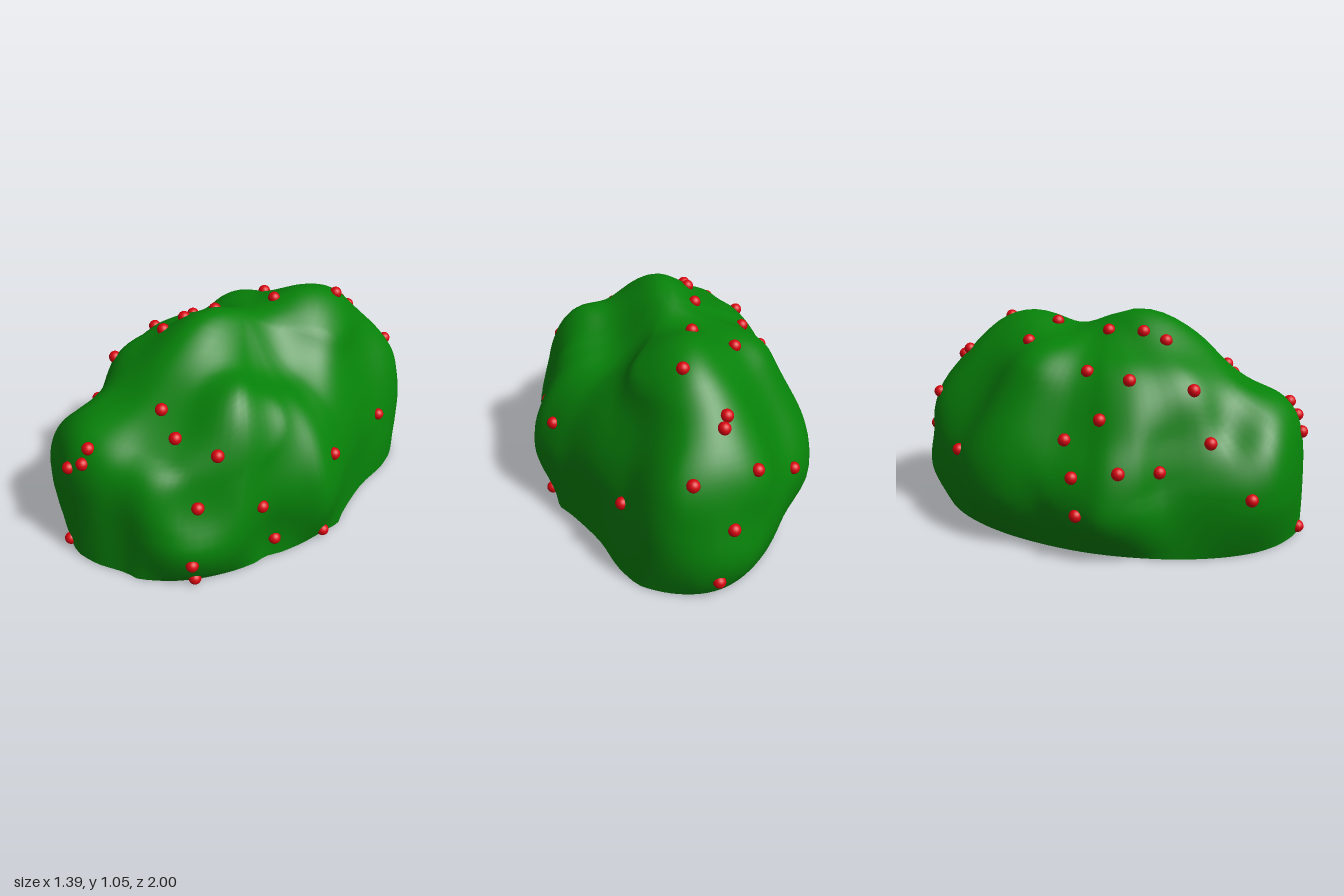
import * as THREE from 'three';

// Widest outline in plan, [x, z], from the back round by +x
const OUTLINE = [
  [0.05, -0.985], [0.2, -0.94], [0.32, -0.85], [0.42, -0.66], [0.47, -0.44], [0.56, -0.23], [0.64, -0.11],
  [0.69, 0.03], [0.63, 0.17], [0.57, 0.3], [0.59, 0.5], [0.51, 0.7], [0.38, 0.81], [0.22, 0.87], [0.07, 0.95],
  [-0.12, 0.98], [-0.36, 0.89], [-0.47, 0.72], [-0.53, 0.45], [-0.65, 0.3], [-0.69, 0.17], [-0.65, 0.05],
  [-0.61, -0.1], [-0.62, -0.35], [-0.55, -0.53], [-0.4, -0.67], [-0.25, -0.85], [-0.1, -0.96],
];

// Lumps and hollows of the crown: x, z, height, spread in x, spread in z
const LUMPS = [
  [0, 0.2, 0.25, 0.17, 0.24], [0.02, -0.5, 0.26, 0.2, 0.28], [0, 0.95, 0.08, 0.3, 0.15],
  [0.42, 0.3, 0.21, 0.13, 0.16], [-0.42, 0.32, 0.16, 0.15, 0.2], [-0.36, -0.3, 0.14, 0.14, 0.2],
  [0.4, -0.3, 0.06, 0.1, 0.12], [0, -0.15, -0.04, 0.12, 0.12], [0.25, -0.02, -0.07, 0.12, 0.14],
  [-0.37, 0.68, -0.13, 0.1, 0.12], [0.42, -0.6, -0.2, 0.14, 0.14], [-0.42, -0.64, -0.13, 0.12, 0.14],
  [-0.58, 0.05, -0.1, 0.08, 0.2],
];

// Berry positions; the foliage is drawn to them
const BERRIES = [
  [0.15, 0.78, 0.57], [0.27, 0.68, 0.58], [0.45, 0.66, 0.49], [0.04, 0.63, 0.89], [0.02, 0.58, 0.93],
  [-0.04, 0.51, 0.95], [0.46, 0.43, 0.61], [0.57, 0.36, 0.33], [0.52, 0.17, 0.69], [0.57, 0.12, 0.25],
  [0.47, 0.03, 0.65], [0.62, 0.05, -0.02], [-0.1, 0.05, 0.97], [0.6, 0.48, -0.08], [0.39, 0.35, -0.61],
  [-0.04, 0.97, -0.25], [0.09, 0.96, -0.55], [-0.05, 0.81, -0.71], [-0.03, 0.77, -0.77], [0.15, 0.6, -0.89],
  [-0.01, 0.38, -0.94], [0.05, 0.12, -0.97], [-0.15, 0.6, -0.86], [-0.16, 0.98, 0.21], [-0.18, 0.94, 0.32],
  [-0.14, 0.97, 0.04], [-0.22, 0.91, -0.34], [-0.42, 0.81, 0.21], [-0.38, 0.83, 0], [-0.36, 0.77, 0.49],
  [-0.4, 0.54, 0.58], [-0.53, 0.65, 0.1], [-0.55, 0.55, -0.06], [-0.63, 0.45, 0.22], [-0.65, 0.41, -0.01],
  [-0.67, 0.24, 0.03], [-0.53, 0.43, 0.37], [-0.45, 0.31, 0.78], [-0.42, 0.4, -0.64],
];

// Further points the foliage passes through
const ANCHORS = [
  [0.35, 0.88, 0.3], [0.45, 0.82, 0.3], [0.5, 0.73, 0.28], [-0.36, 0.885, -0.2], [-0.6, 0.49, 0.1],
  [0, 0.2, -0.985], [0, 0.5, -0.925], [0, 1.05, 0.2], [0, 0.97, -0.17], [0, 1.01, -0.35],
  [0.22, 0.91, -0.4], [0, 0.97, 0.4], [0, 0.72, 0.72], [0, 0.3, 0.97],
];

const WAIST = 0.28; // height of the widest outline
const AROUND = 120, SKIRT = 8, DOME = 32;

const crown = (x, z) => LUMPS.reduce((h, [cx, cz, amp, sx, sz]) =>
  h + amp * Math.exp(-((x - cx) ** 2) / (2 * sx * sx) - ((z - cz) ** 2) / (2 * sz * sz)), 0.8);

// Scale from the outline to the smooth, slightly skewed oval rim, in the direction of p
function rimScale(p) {
  const cx = 0.035, cz = 0.035, rx = 0.585, rz = 0.94, x = p.x + 0.05 * p.z;
  const a = (x / rx) ** 2 + (p.z / rz) ** 2;
  const b = (x * cx) / rx ** 2 + (p.z * cz) / rz ** 2;
  const c = (cx / rx) ** 2 + (cz / rz) ** 2 - 1;
  return Math.min((b + Math.sqrt(b * b - a * c)) / a, 1);
}

// Nearest foliage vertex to a point
function nearest(point, verts) {
  return verts.reduce((best, v) =>
    (v.distanceToSquared(point) < best.distanceToSquared(point) ? v : best));
}

// Draw the surface softly through the target points
function pull(verts, targets) {
  const spread = 2 * 0.12 ** 2;
  const moves = targets.map((t) => {
    const from = nearest(t, verts).clone();
    return { from, by: t.clone().sub(from) };
  });
  for (const v of verts) {
    const sum = new THREE.Vector3();
    let total = 0;
    for (const { from, by } of moves) {
      const w = Math.exp(-v.distanceToSquared(from) / spread);
      sum.addScaledVector(by, w);
      total += w;
    }
    v.addScaledVector(sum, 1 / Math.max(1, total));
    v.y = Math.max(v.y, 0.005);
  }
}

function foliageVertices() {
  const curve = new THREE.CatmullRomCurve3(OUTLINE.map(([x, z]) => new THREE.Vector3(x, 0, z)), true);
  const ring = Array.from({ length: AROUND }, (_, j) => curve.getPoint(j / AROUND));
  const verts = [];

  // Skirt tucks in towards the open underside
  for (let i = 0; i < SKIRT; i++) {
    const t = i / SKIRT;
    for (const p of ring) {
      const s = 1 - (1 - rimScale(p)) * (1 - t) ** 1.8;
      verts.push(new THREE.Vector3(p.x * s, 0.005 + (WAIST - 0.005) * t, p.z * s));
    }
  }
  // Lumpy dome above the waist, squarer towards the front
  for (let i = 0; i < DOME; i++) {
    const a = (i / DOME) * Math.PI / 2;
    for (const p of ring) {
      const power = 2.2 + 0.8 * Math.max(0, p.z / p.length()) ** 4;
      const s = Math.cos(a) ** (2 / power), lift = Math.sin(a) ** (2 / power);
      const x = p.x * s, z = p.z * s;
      verts.push(new THREE.Vector3(x, WAIST + (crown(x, z) - WAIST) * lift, z));
    }
  }
  verts.push(new THREE.Vector3(0, crown(0, 0), 0));
  return verts;
}

function foliageGeometry(verts) {
  const index = [], rows = SKIRT + DOME, apex = rows * AROUND;
  for (let i = 0; i < rows; i++) {
    for (let j = 0; j < AROUND; j++) {
      const k = (j + 1) % AROUND;
      const a = i * AROUND + j, b = i * AROUND + k;
      if (i === rows - 1) index.push(a, apex, b);
      else index.push(a, a + AROUND, b, b, a + AROUND, b + AROUND);
    }
  }
  const geo = new THREE.BufferGeometry().setFromPoints(verts);
  geo.setIndex(index);
  geo.computeVertexNormals();
  return geo;
}

export function createModel() {
  const group = new THREE.Group();
  group.name = 'berryBush';

  const spots = BERRIES.map((b) => new THREE.Vector3(...b));
  const targets = spots.concat(ANCHORS.map((a) => new THREE.Vector3(...a)));
  const verts = foliageVertices();
  for (let pass = 0; pass < 2; pass++) pull(verts, targets);

  const foliage = new THREE.Mesh(foliageGeometry(verts),
    new THREE.MeshStandardMaterial({ color: 0x078209, side: THREE.DoubleSide }));
  foliage.name = 'foliage';
  group.add(foliage);

  const berries = new THREE.Group();
  berries.name = 'berries';
  const berryGeo = new THREE.SphereGeometry(0.03, 16, 12);
  const berryMat = new THREE.MeshStandardMaterial({ color: 0xd8040f });
  for (const spot of spots) {
    const berry = new THREE.Mesh(berryGeo, berryMat);
    berry.name = 'berry';
    berry.position.copy(nearest(spot, verts));
    berry.position.y = Math.max(berry.position.y, 0.032);
    berries.add(berry);
  }
  group.add(berries);
  return group;
}
